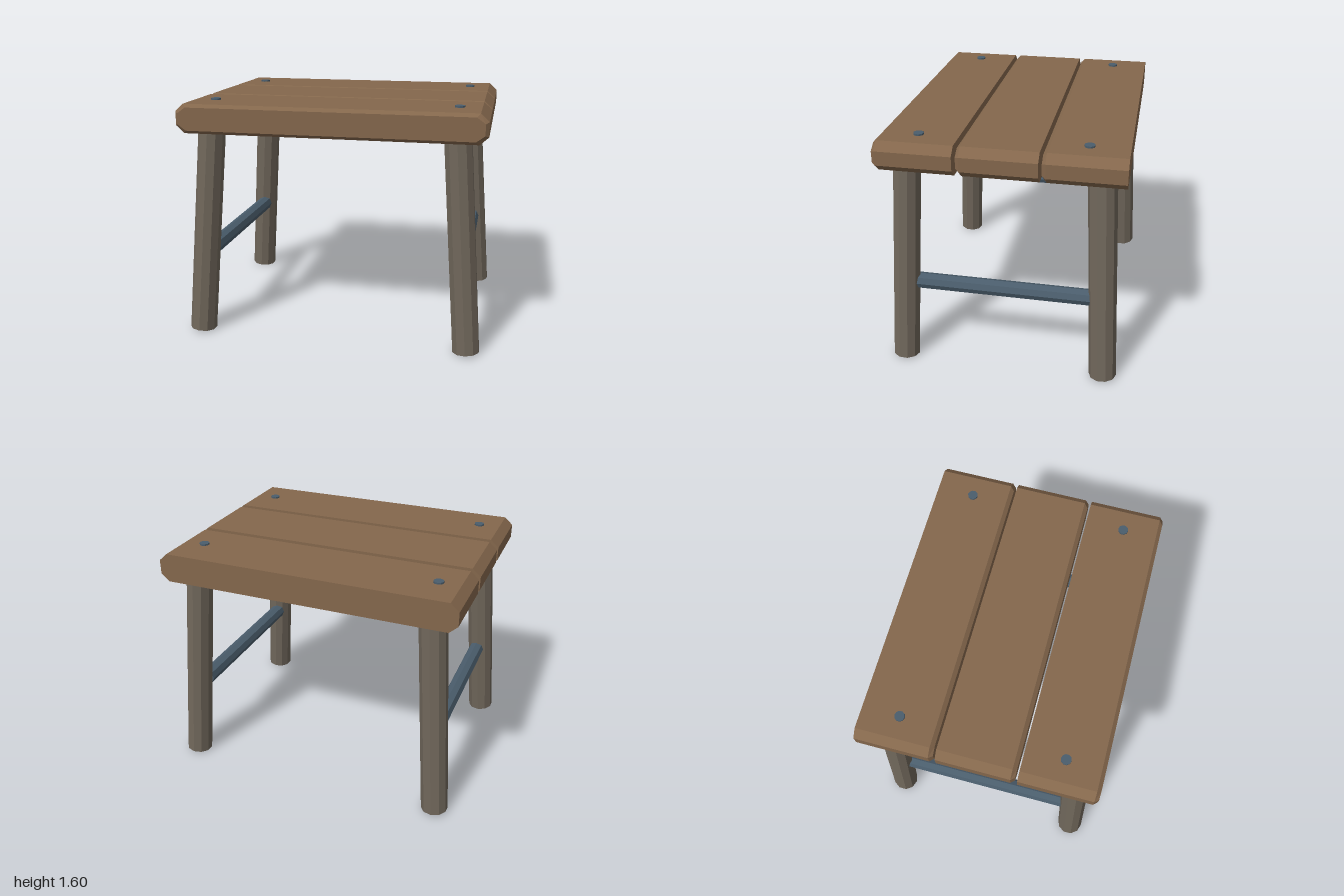
import * as THREE from 'three';

const material = (name, color) => {
  const m = new THREE.MeshStandardMaterial({ color, flatShading: true });
  m.name = name;
  return m;
};

// Eight-sided board with a chamfer around its front face only
function plankGeometry() {
  const w = 1, h = 0.096, cx = 0.055, cy = 0.05, depth = 0.5, bevel = 0.025;
  const outline = new THREE.Shape([
    [-w, cy - h], [cx - w, -h], [w - cx, -h], [w, cy - h],
    [w, h - cy], [w - cx, h], [cx - w, h], [-w, h - cy],
  ].map(([x, y]) => new THREE.Vector2(x, y)));
  const g = new THREE.ExtrudeGeometry(outline, { depth, steps: 2, bevelEnabled: false });
  const p = g.attributes.position;
  for (let i = 0; i < p.count; i++) {
    const z = p.getZ(i);
    if (z > depth * 0.75) p.setXY(i, p.getX(i) * 0.978, p.getY(i) * 0.78);
    else if (z > depth * 0.25) p.setZ(i, depth - bevel);
  }
  g.translate(0, 0, -depth / 2);
  g.computeVertexNormals();
  return g;
}

export function createModel() {
  const model = new THREE.Group();
  model.name = 'stool';
  const wood = material('plank wood', 0x84674c);
  const legWood = material('leg wood', 0x6f665a);
  const iron = material('iron', 0x4a5d6c);

  const add = (name, geometry, mat, x, y, z) => {
    const mesh = new THREE.Mesh(geometry, mat);
    mesh.name = name;
    mesh.position.set(x, y, z);
    model.add(mesh);
    return mesh;
  };

  // Three seat planks
  const plank = plankGeometry();
  for (const i of [-1, 0, 1]) add('seatPlank', plank, wood, 0, 1.496, 0.002 + i * 0.517);

  // Splayed legs and the bolts above them
  const up = new THREE.Vector3(0, 1, 0);
  const bolt = new THREE.CylinderGeometry(0.033, 0.033, 0.022, 10);
  for (const sx of [-1, 1]) {
    for (const sz of [-1, 1]) {
      const foot = new THREE.Vector3(sx * 0.915, 0.01, sz * 0.676);
      const top = new THREE.Vector3(sx * 0.806, 1.45, sz * 0.606);
      const axis = top.clone().sub(foot);
      const mid = foot.clone().add(top).multiplyScalar(0.5);
      const leg = add('leg', new THREE.CylinderGeometry(0.09, 0.09, axis.length(), 10),
        legWood, mid.x, mid.y, mid.z);
      leg.quaternion.setFromUnitVectors(up, axis.normalize());
      add('bolt', bolt, iron, sx * 0.806, 1.592, sz * 0.522);
    }
    // Side stretcher between front and back legs
    const bar = add('stretcher', new THREE.CylinderGeometry(0.054, 0.054, 1.15, 8),
      iron, sx * 0.858, 0.57, 0);
    bar.rotation.x = Math.PI / 2;
  }
  return model;
}
